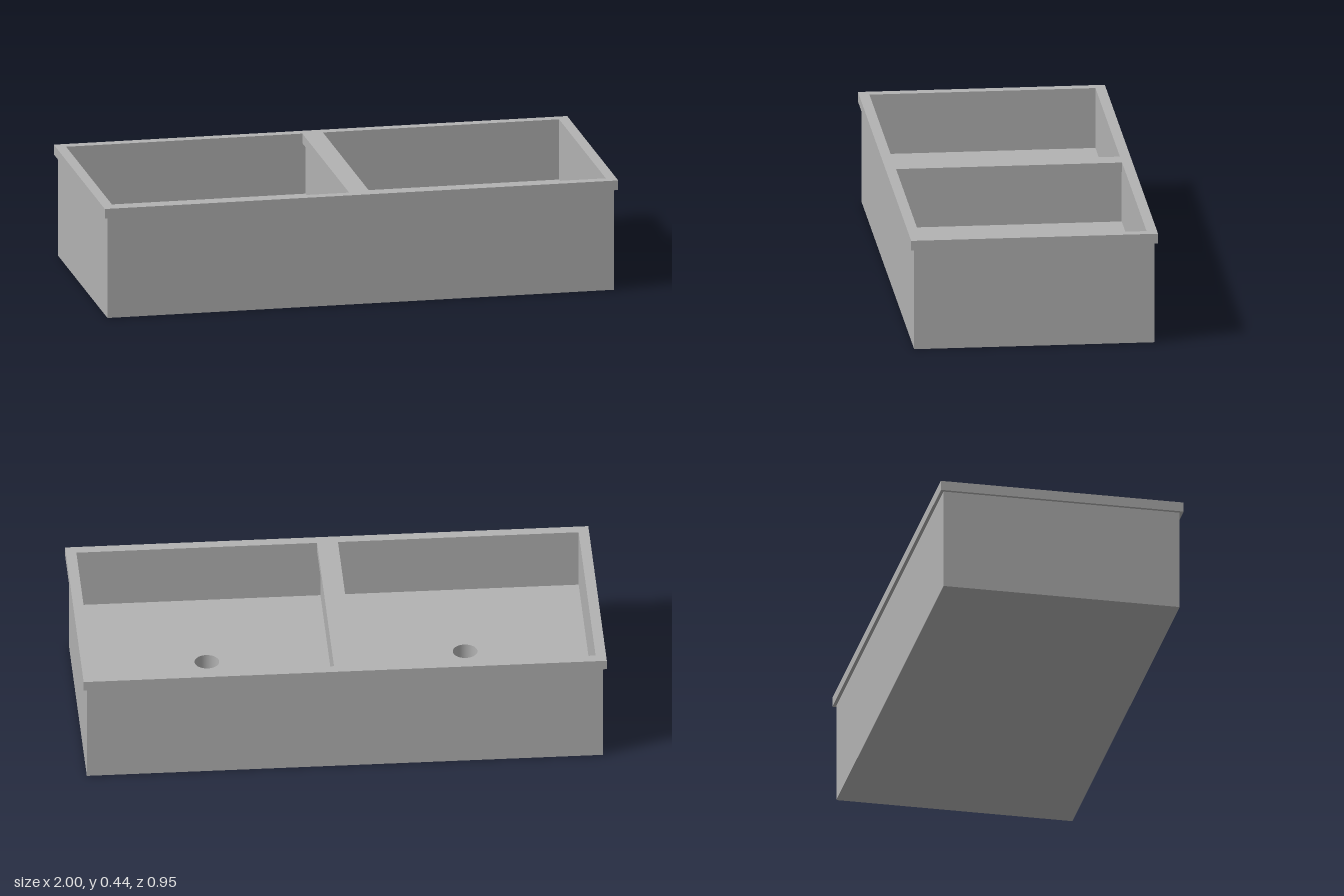
import * as THREE from 'three';
import { mergeGeometries } from 'three/addons/utils/BufferGeometryUtils.js';

const RIM_X = 1, RIM_Z = 0.473, BODY_X = 0.987, BODY_Z = 0.46;
const WALL = 0.027, RIM_HALF_DIVIDER = 0.04;
const TOP = 0.435, RIM_BOTTOM = 0.397, FLOOR = 0.197, DRAIN_BOTTOM = 0.097;
const DRAIN_R = 0.047;
const IN_X = BODY_X - WALL, IN_Z = BODY_Z - WALL;
const BASIN_X = (IN_X + WALL) / 2, BASIN_W = IN_X - WALL;

// rectangle path on the plan, centred on (cx, 0)
function rect(PathType, cx, hw, hz) {
  return new PathType([[-hw, -hz], [hw, -hz], [hw, hz], [-hw, hz]]
    .map(([x, z]) => new THREE.Vector2(cx + x, z)));
}

// four upright faces around a rectangle, facing outwards or inwards
function sides(w, d, y0, y1, inward = false) {
  const faces = [];
  for (let i = 0; i < 4; i++) {
    const along = i % 2 ? d : w, out = (i % 2 ? w : d) / 2;
    const plane = new THREE.PlaneGeometry(along, y1 - y0);
    if (inward) plane.rotateY(Math.PI);
    plane.translate(0, (y0 + y1) / 2, out).rotateY(i * Math.PI / 2);
    faces.push(plane);
  }
  return mergeGeometries(faces);
}

export function createModel() {
  const model = new THREE.Group();
  model.name = 'doubleSink';
  const steel = new THREE.MeshStandardMaterial({ color: 0xb2b2b2 });
  steel.name = 'greySteel';

  const add = (parent, name, geometry) => {
    const mesh = new THREE.Mesh(geometry, steel);
    mesh.name = name;
    parent.add(mesh);
    return mesh;
  };

  // outer body
  add(model, 'bodySides', sides(BODY_X * 2, BODY_Z * 2, 0, RIM_BOTTOM));
  add(model, 'bodyBottom',
    new THREE.PlaneGeometry(BODY_X * 2, BODY_Z * 2).rotateX(Math.PI / 2));

  // overhanging rim with two openings
  const rimShape = rect(THREE.Shape, 0, RIM_X, RIM_Z);
  for (const s of [-1, 1]) {
    rimShape.holes.push(rect(THREE.Path, s * (IN_X + RIM_HALF_DIVIDER) / 2,
      (IN_X - RIM_HALF_DIVIDER) / 2, IN_Z));
  }
  add(model, 'rim', new THREE.ExtrudeGeometry(rimShape,
    { depth: TOP - RIM_BOTTOM, bevelEnabled: false })
    .rotateX(-Math.PI / 2).translate(0, RIM_BOTTOM, 0));

  // two basins, each with a recessed round drain
  for (const s of [-1, 1]) {
    const basin = new THREE.Group();
    basin.name = s > 0 ? 'leftBasin' : 'rightBasin';
    basin.position.x = s * BASIN_X;
    model.add(basin);

    add(basin, 'basinWalls', sides(BASIN_W, IN_Z * 2, FLOOR, RIM_BOTTOM, true));

    const floor = rect(THREE.Shape, 0, BASIN_W / 2, IN_Z);
    floor.holes.push(new THREE.Path().absarc(0, 0, DRAIN_R, 0, Math.PI * 2, true));
    add(basin, 'basinFloor', new THREE.ShapeGeometry(floor, 24)
      .rotateX(-Math.PI / 2).translate(0, FLOOR, 0));

    add(basin, 'drainWall', new THREE.LatheGeometry([
      new THREE.Vector2(DRAIN_R, FLOOR), new THREE.Vector2(DRAIN_R, DRAIN_BOTTOM),
    ], 48));
    add(basin, 'drainBottom', new THREE.CircleGeometry(DRAIN_R, 48)
      .rotateX(-Math.PI / 2).translate(0, DRAIN_BOTTOM, 0));
  }
  return model;
}
